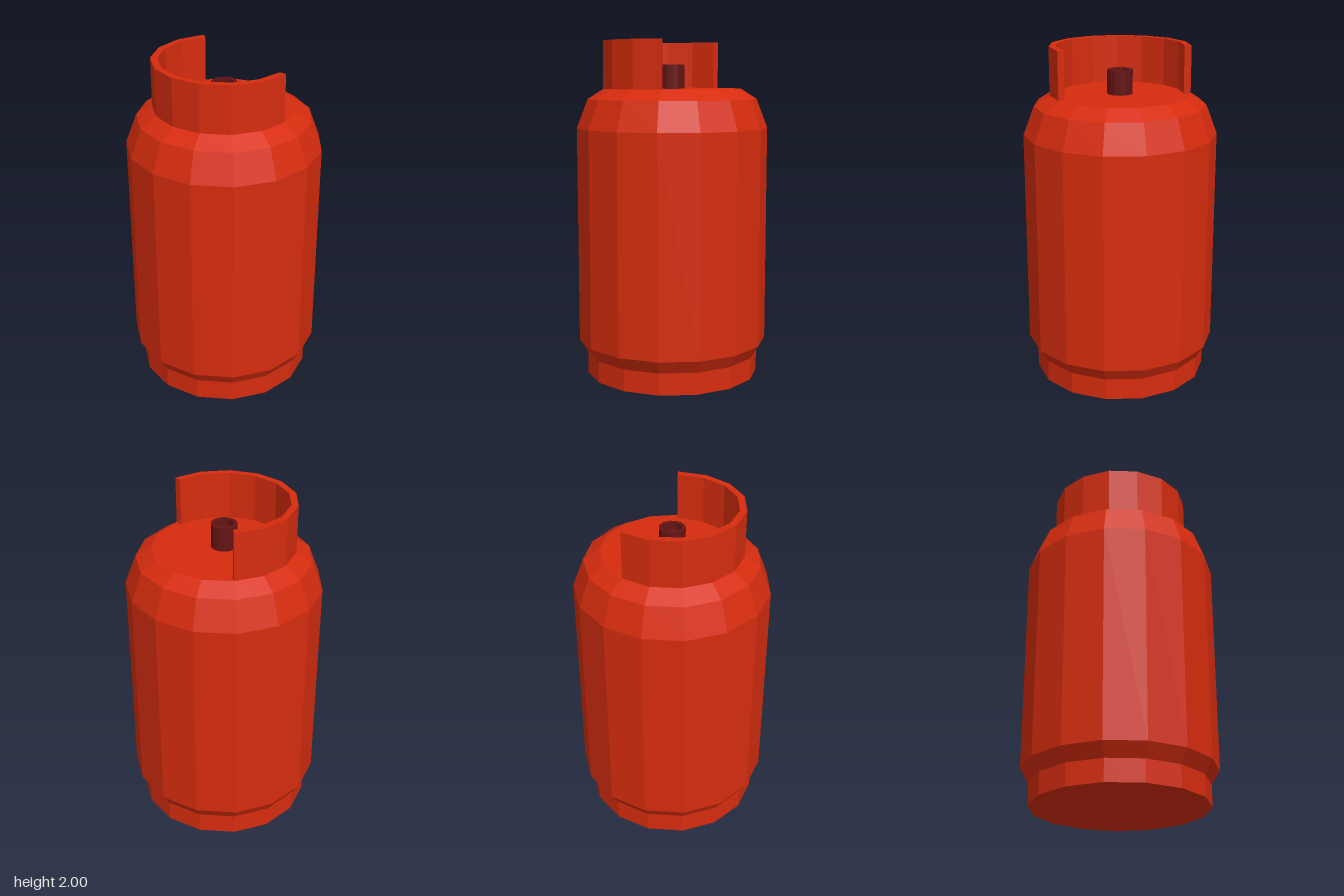
import * as THREE from 'three';

const SIDES = 15;
const CENTER_Z = 0.004;

const paint = new THREE.MeshStandardMaterial({ color: 0xd62c0e, flatShading: true });
const darkMetal = new THREE.MeshStandardMaterial({ color: 0x641414, flatShading: true });

// Faceted solid of revolution from [radius, height] pairs
function turned(name, profile, startAngle, material) {
  const points = profile.map(([r, y]) => new THREE.Vector2(r, y));
  const mesh = new THREE.Mesh(new THREE.LatheGeometry(points, SIDES, startAngle), material);
  mesh.name = name;
  return mesh;
}

// Guard collar: an open ring of nine facets, with its gap at the back
function createCollar(outer, inner, bottom, height) {
  const step = (Math.PI * 2) / SIDES;
  const arc = (r) => Array.from({ length: 10 }, (_, i) => {
    const a = (i - 4.5) * step;
    return new THREE.Vector2(r * Math.sin(a), -r * Math.cos(a));
  });
  const shape = new THREE.Shape([...arc(outer), ...arc(inner).reverse()]);
  const geometry = new THREE.ExtrudeGeometry(shape, { depth: height, bevelEnabled: false });
  geometry.rotateX(-Math.PI / 2);
  geometry.translate(0, bottom, 0);
  const mesh = new THREE.Mesh(geometry, paint);
  mesh.name = 'guardCollar';
  return mesh;
}

export function createModel() {
  const model = new THREE.Group();
  model.name = 'gasCylinder';

  // Tank: foot ring, straight wall, sloped shoulders and flat top
  model.add(turned('tank', [
    [0, 0], [0.518, 0], [0.518, 0.13], [0.568, 0.21], [0.568, 1.49],
    [0.503, 1.66], [0.41, 1.72], [0, 1.72],
  ], Math.PI, paint));

  model.add(createCollar(0.41, 0.37, 1.72, 0.28));

  // Valve: short stub with a recessed outlet
  model.add(turned('valve', [
    [0.075, 1.72], [0.075, 1.86], [0.054, 1.86], [0.054, 1.82], [0, 1.82],
  ], 0, darkMetal));

  model.children.forEach((part) => { part.position.z = CENTER_Z; });
  return model;
}
